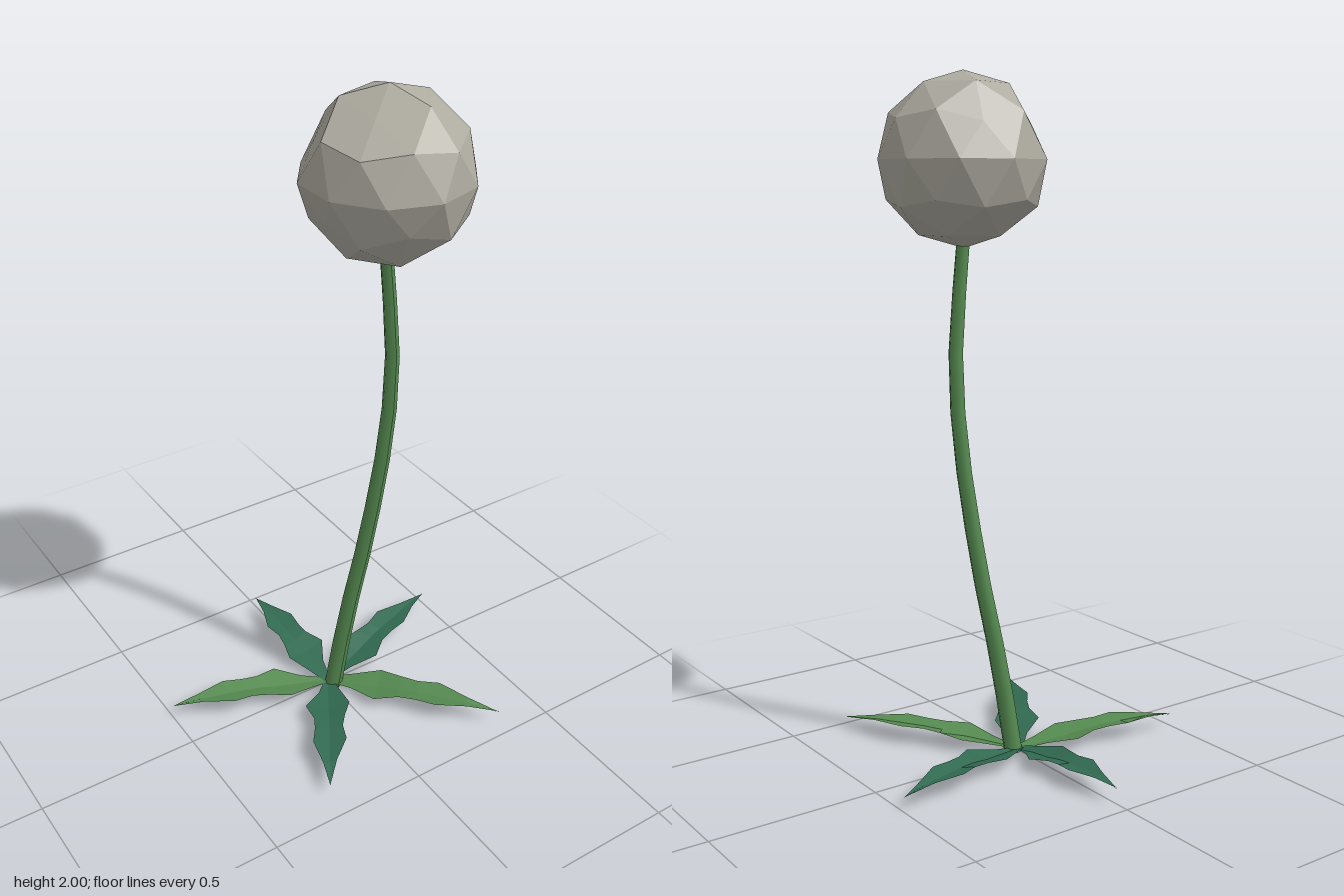
import * as THREE from 'three';

const mat = (name, color) => {
  const m = new THREE.MeshStandardMaterial({ color });
  m.name = name;
  return m;
};

function addMesh(parent, name, geometry, material) {
  const mesh = new THREE.Mesh(geometry, material);
  mesh.name = name;
  parent.add(mesh);
  return mesh;
}

// Faceted normals
function faceted(geometry) {
  const g = geometry.index ? geometry.toNonIndexed() : geometry;
  g.computeVertexNormals();
  return g;
}

// Puffy seed head: pole-up icosphere with a few corners pressed flat
function headGeometry() {
  const R = 0.245;
  const g = new THREE.IcosahedronGeometry(R, 1);
  g.rotateZ(-Math.atan(2 / (1 + Math.sqrt(5))));
  // [angle round y from +x towards +z, latitude, radius factor]
  const dents = [
    [144, 58.3, 0.86], [216, 26.6, 0.87], [288, 26.6, 0.9],
    [180, -26.6, 0.88], [108, -26.6, 0.9],
  ].map(([a, l, f]) => {
    const az = THREE.MathUtils.degToRad(a), lat = THREE.MathUtils.degToRad(l);
    const dir = new THREE.Vector3(
      Math.cos(az) * Math.cos(lat), Math.sin(lat), Math.sin(az) * Math.cos(lat));
    return { dir, f };
  });
  const p = g.attributes.position, v = new THREE.Vector3();
  for (let i = 0; i < p.count; i++) {
    v.fromBufferAttribute(p, i);
    for (const d of dents) {
      if (v.dot(d.dir) / v.length() > 0.985) { v.multiplyScalar(d.f); break; }
    }
    p.setXYZ(i, v.x, v.y, v.z);
  }
  return faceted(g);
}

// Tapered stem: a cylinder whose rings follow a gentle curve
function stemGeometry() {
  const curve = new THREE.CatmullRomCurve3([
    [0.012, 0.005, 0.015], [0.05, 0.27, 0.03], [0.1, 0.56, 0.055],
    [0.142, 0.9, 0.083], [0.158, 1.16, 0.092], [0.149, 1.34, 0.09], [0.132, 1.56, 0.083],
  ].map((a) => new THREE.Vector3(...a)));
  const g = new THREE.CylinderGeometry(0.019, 0.028, 1, 8, 9);
  const p = g.attributes.position;
  for (let i = 0; i < p.count; i++) {
    const c = curve.getPointAt(THREE.MathUtils.clamp(p.getY(i) + 0.5, 0, 1));
    p.setXYZ(i, p.getX(i) + c.x, c.y, p.getZ(i) + c.z);
  }
  g.computeVertexNormals();
  return g;
}

// Jagged leaf along +x; sections: [t along length, left half, right half, height]
const SECTIONS = [
  [0, 0.012, 0.012, 0.012], [0.14, 0.035, 0.03, 0.025], [0.3, 0.066, 0.072, 0.042],
  [0.43, 0.05, 0.046, 0.05], [0.53, 0.042, 0.044, 0.054], [0.65, 0.052, 0.05, 0.058],
  [0.82, 0.021, 0.021, 0.055], [1, 0, 0, 0.046],
];

function leafGeometry(length, lift, under) {
  const pos = [], idx = [];
  for (const [t, l, r, y] of SECTIONS) {
    const x = t * length;
    pos.push(x - 0.01, y + lift, -l, x, y + lift - 0.1 * (l + r), 0, x + 0.01 * (1 - t), y + lift, r);
  }
  for (let i = 0; i < SECTIONS.length - 1; i++) {
    for (let k = 0; k < 2; k++) {
      const a = i * 3 + k, b = a + 1, c = a + 3, d = a + 4;
      if (under) idx.push(a, c, b, b, c, d);
      else idx.push(a, b, c, b, d, c);
    }
  }
  const g = new THREE.BufferGeometry();
  g.setAttribute('position', new THREE.Float32BufferAttribute(pos, 3));
  g.setIndex(idx);
  return faceted(g);
}

export function createModel() {
  const green = mat('fresh green', 0x558a50);
  const teal = mat('deep teal green', 0x326b52);
  const grey = mat('warm grey', 0xaeaba0);

  const root = new THREE.Group();
  root.name = 'flower';

  addMesh(root, 'stem', stemGeometry(), green);
  const head = addMesh(root, 'seedHead', headGeometry(), grey);
  head.position.set(0.133, 1.755, 0.082);

  // Rosette of five leaves, each with a teal underside
  const tips = [
    [-0.5, -0.13, green], [-0.005, -0.455, teal], [0.5, -0.157, teal],
    [0.348, 0.452, green], [-0.268, 0.425, teal],
  ];
  tips.forEach(([x, z, material], i) => {
    const leaf = new THREE.Group();
    leaf.name = `leaf${i + 1}`;
    const length = Math.hypot(x, z);
    addMesh(leaf, 'leafTop', leafGeometry(length, 0.003, false), material);
    addMesh(leaf, 'leafUnderside', leafGeometry(length, 0, true), teal);
    leaf.rotation.y = -Math.atan2(z, x);
    root.add(leaf);
  });

  return root;
}
